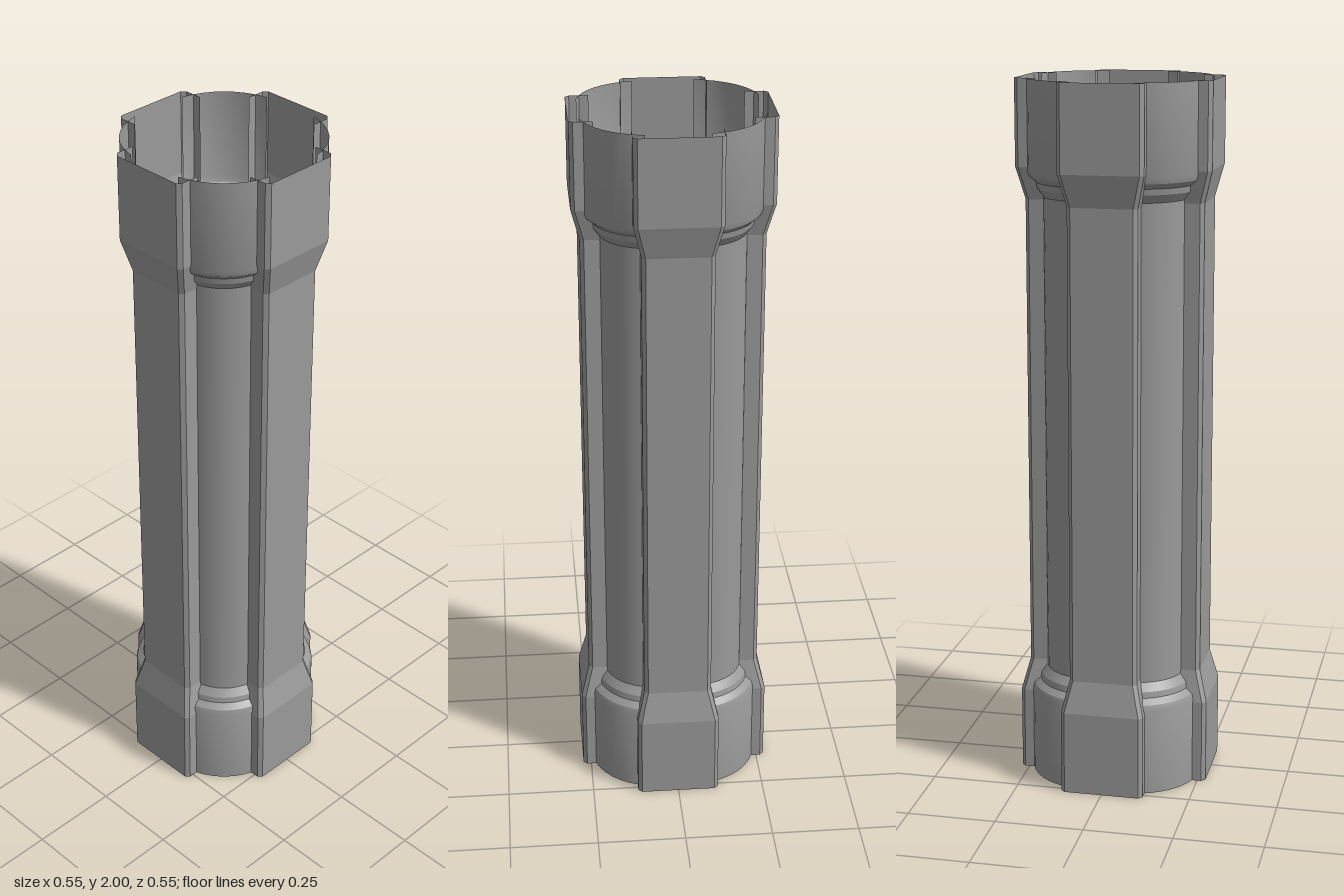
import * as THREE from 'three';
import { toCreasedNormals } from 'three/addons/utils/BufferGeometryUtils.js';

const material = new THREE.MeshStandardMaterial({ color: 0x9a9a9a, side: THREE.DoubleSide });

// Joins a stack of open cross-sections (arrays of [x, y, z], bottom to top) into a sheet
function loft(sections, crease) {
  const n = sections[0].length;
  const index = [];
  for (let j = 0; j < sections.length - 1; j++) {
    for (let i = 0; i < n - 1; i++) {
      const a = j * n + i, b = a + 1, c = a + n, d = c + 1;
      index.push(a, b, d, a, d, c);
    }
  }
  const geometry = new THREE.BufferGeometry();
  geometry.setAttribute('position', new THREE.Float32BufferAttribute(sections.flat(2), 3));
  geometry.setIndex(index);
  return toCreasedNormals(geometry, crease);
}

// Flat plate with chamfered edges and inward side returns
function panelSection(y, half, depth, returnDepth) {
  const c = 0.011;
  const right = [[half - c, depth], [half, depth - c], [half, returnDepth]];
  const left = right.map(([x, z]) => [-x, z]).reverse();
  return [...left, ...right].map(([x, z]) => [x, y, z]);
}

// Rounded corner between two plates, bulged at the middle
function cornerSection(y, radius) {
  const start = Math.asin(0.085 / radius);
  const sweep = Math.PI / 2 - 2 * start;
  const points = [];
  for (let i = 0; i <= 8; i++) {
    const a = start + sweep * i / 8;
    const r = radius + 0.01 * Math.sin(Math.PI * i / 8);
    points.push([r * Math.sin(a), y, r * Math.cos(a)]);
  }
  return points;
}

export function createModel() {
  const group = new THREE.Group();
  group.name = 'flaredTube';

  // Plates widen at both ends
  const wide = [0.118, 0.273, 0.21], narrow = [0.097, 0.25, 0.19];
  const panel = loft([
    panelSection(0, ...wide), panelSection(0.24, ...wide),
    panelSection(0.33, ...narrow), panelSection(1.67, ...narrow),
    panelSection(1.76, ...wide), panelSection(2, ...wide),
  ], 0.2);

  // Corners flare through a stepped shoulder
  const lower = [[0, 0.259], [0.25, 0.259], [0.265, 0.254], [0.28, 0.237], [0.297, 0.234], [0.32, 0.217]];
  const upper = lower.map(([y, r]) => [2 - y, r]).reverse();
  const corner = loft([...lower, ...upper].map(([y, r]) => cornerSection(y, r)), 0.4);

  for (let i = 0; i < 4; i++) {
    for (const [name, geometry] of [['flatPanel', panel], ['roundedCorner', corner]]) {
      const mesh = new THREE.Mesh(geometry, material);
      mesh.name = name + (i + 1);
      mesh.rotation.y = i * Math.PI / 2;
      group.add(mesh);
    }
  }
  return group;
}
